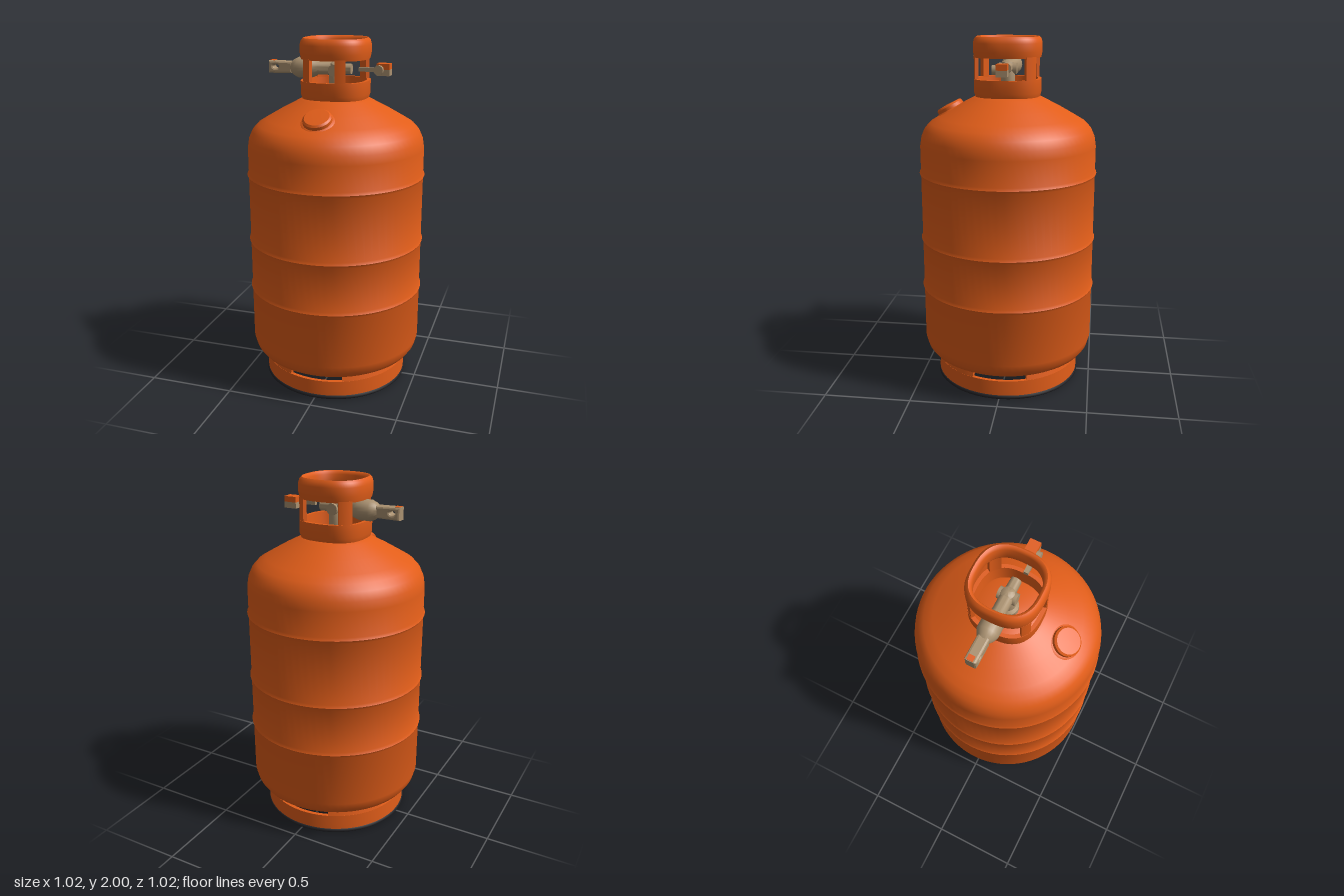
import * as THREE from 'three';
import { toCreasedNormals } from 'three/addons/utils/BufferGeometryUtils.js';

const mat = (name, color) => {
  const m = new THREE.MeshStandardMaterial({ color });
  m.name = name;
  return m;
};
const DEG = Math.PI / 180;

// Sweeps a closed convex (radius, y) profile, given counter-clockwise, around y.
// radiusScale(angle) bends the circle into another outline.
function sweep(profile, a0, a1, radiusScale = () => 1) {
  const steps = Math.max(3, Math.ceil((a1 - a0) / (4 * DEG)));
  const pos = [];
  const at = (s, i) => {
    const a = a0 + (a1 - a0) * s / steps;
    const [r, y] = profile[i % profile.length];
    const k = r * radiusScale(a);
    return [k * Math.cos(a), y, k * Math.sin(a)];
  };
  const tri = (a, b, c) => pos.push(...a, ...b, ...c);
  for (let s = 0; s < steps; s++) {
    for (let i = 0; i < profile.length; i++) {
      tri(at(s, i), at(s, i + 1), at(s + 1, i + 1));
      tri(at(s, i), at(s + 1, i + 1), at(s + 1, i));
    }
  }
  if (a1 - a0 < 2 * Math.PI - 0.001) {
    for (let i = 1; i < profile.length - 1; i++) {
      tri(at(0, 0), at(0, i + 1), at(0, i));
      tri(at(steps, 0), at(steps, i), at(steps, i + 1));
    }
  }
  const g = new THREE.BufferGeometry();
  g.setAttribute('position', new THREE.Float32BufferAttribute(pos, 3));
  return toCreasedNormals(g, 0.8);
}

const rect = (r0, r1, y0, y1) => [[r0, y0], [r1, y0], [r1, y1], [r0, y1]];
const lathe = (pts, seg = 72) => toCreasedNormals(
  new THREE.LatheGeometry(pts.map(p => new THREE.Vector2(...p)), seg), 0.6);
// Rounded-square outline for the collar
const squarish = a =>
  Math.pow(Math.abs(Math.cos(a)) ** 2.6 + Math.abs(Math.sin(a)) ** 2.6, -1 / 2.6);

export function createModel() {
  const root = new THREE.Group();
  root.name = 'gasCylinder';
  const orange = mat('orangePaint', 0xe15d19);
  const brass = mat('dullBrass', 0xaa9170);
  const rubber = mat('blackRubber', 0x242428);
  const brown = mat('bareUnderside', 0x94734e);

  const add = (name, geometry, material, parent = root) => {
    const m = new THREE.Mesh(geometry, material);
    m.name = name;
    parent.add(m);
    return m;
  };

  // Tank body with three raised seams
  const seam = y => [[0.5, y - 0.016], [0.508, y], [0.5, y + 0.016]];
  add('tank', lathe([
    [0.412, 0.15], [0.44, 0.157], [0.466, 0.174], [0.488, 0.205], [0.5, 0.25],
    ...seam(0.57), ...seam(0.86), ...seam(1.245),
    [0.5, 1.4], [0.492, 1.45], [0.472, 1.495], [0.44, 1.53], [0.39, 1.56],
    [0.3, 1.612], [0.2, 1.664], [0.16, 1.682], [0, 1.69],
  ]), orange);
  add('tankUnderside', lathe([[0, 0.127], [0.355, 0.127], [0.38, 0.135], [0.412, 0.15]]), brown);

  // Foot ring: a full band, four tabs up to the tank, a rubber rim
  const foot = new THREE.Group();
  foot.name = 'foot';
  root.add(foot);
  add('footBand', sweep([[0.4, 0.018], [0.42, 0.018], [0.417, 0.112], [0.397, 0.112]], 0, 2 * Math.PI), orange, foot);
  for (let i = 0; i < 4; i++) {
    const mid = (45 + 90 * i) * DEG;
    add('footTab', sweep([[0.397, 0.108], [0.417, 0.108], [0.404, 0.16], [0.382, 0.16]],
      mid - 23 * DEG, mid + 23 * DEG), orange, foot);
  }
  add('footRim', sweep([[0.396, 0.006], [0.404, 0], [0.418, 0], [0.425, 0.007],
    [0.425, 0.019], [0.419, 0.025], [0.396, 0.025]], 0, 2 * Math.PI), rubber, foot);
  add('footInnerPatch', sweep(rect(0.393, 0.399, 0.026, 0.09), 115 * DEG, 196 * DEG), brass, foot);

  // Collar: lower band, posts and rolled top rim on a rounded-square outline
  const collar = new THREE.Group();
  collar.name = 'collar';
  root.add(collar);
  add('collarBase', sweep([[0.162, 1.676], [0.18, 1.676], [0.187, 1.7], [0.187, 1.772], [0.167, 1.772]],
    0, 2 * Math.PI, squarish), orange, collar);
  add('collarRim', sweep([[0.163, 1.888], [0.184, 1.888], [0.19, 1.92], [0.19, 1.965], [0.184, 1.988],
    [0.172, 2], [0.162, 1.996], [0.155, 1.98], [0.155, 1.91]], 0, 2 * Math.PI, squarish), orange, collar);
  // start and end angle of each post, from +x towards +z
  const posts = [[58, 75], [120, 135], [216, 238], [303, 323]];
  for (const [a, b] of posts) {
    add('collarPost', sweep(rect(0.166, 0.186, 1.765, 1.895), a * DEG, b * DEG, squarish), orange, collar);
  }

  // Filler plug on the front shoulder
  const plug = new THREE.Group();
  plug.name = 'shoulderPlug';
  plug.position.set(0, 1.586, 0.322);
  plug.rotation.x = 0.5;
  add('plugFlange', lathe([[0.096, -0.03], [0.094, 0.004], [0.082, 0.012], [0, 0.012]], 32), orange, plug);
  add('plugCap', lathe([[0.08, 0], [0.078, 0.03], [0.068, 0.039], [0, 0.042]], 32), orange, plug);
  root.add(plug);

  // Valve: upright stem with a side pipe leading to a drilled end lug
  const valve = new THREE.Group();
  valve.name = 'valve';
  root.add(valve);
  add('valveStem', lathe([[0.055, 1.67], [0.055, 1.72], [0.04, 1.735], [0.04, 1.84],
    [0.034, 1.86], [0.02, 1.87], [0, 1.873]], 20), brass, valve);
  add('valvePipe', lathe([[0, -0.09], [0.028, -0.09], [0.03, -0.03], [0.036, 0], [0.036, 0.1], [0.05, 0.125],
    [0.057, 0.15], [0.057, 0.215], [0.046, 0.24], [0.03, 0.262], [0, 0.262]], 24)
    .rotateZ(Math.PI / 2).translate(0, 1.832, 0), brass, valve);
  const lug = new THREE.Shape([[-0.39, 1.797], [-0.25, 1.8], [-0.25, 1.864], [-0.39, 1.867]]
    .map(p => new THREE.Vector2(...p)));
  const hole = new THREE.Path();
  hole.absellipse(-0.346, 1.835, 0.017, 0.011, 0, 2 * Math.PI, true);
  lug.holes.push(hole);
  add('valveEndLug', new THREE.ExtrudeGeometry(lug, { depth: 0.04, bevelEnabled: true,
    bevelSize: 0.01, bevelThickness: 0.012, bevelOffset: -0.01, bevelSegments: 2 })
    .translate(0, 0, -0.02), brass, valve);
  add('lugPaintPatch', new THREE.BoxGeometry(0.03, 0.004, 0.034)
    .translate(-0.372, 1.867, -0.003), orange, valve);
  add('valveSideNut', new THREE.CylinderGeometry(0.032, 0.032, 0.1, 16)
    .rotateX(Math.PI / 2).translate(0, 1.825, 0), brass, valve);

  // Small tap on the other side of the collar, its knob painted on the upper half
  const tap = new THREE.Group();
  tap.name = 'tap';
  root.add(tap);
  add('tapRod', new THREE.BoxGeometry(0.11, 0.022, 0.024).translate(0.195, 1.835, 0.025), brass, tap);
  add('tapBody', new THREE.CylinderGeometry(0.026, 0.026, 0.045, 16)
    .rotateX(Math.PI / 2).translate(0.252, 1.835, 0.03), brass, tap);
  add('tapKnobLower', new THREE.BoxGeometry(0.073, 0.034, 0.06).translate(0.273, 1.82, -0.003), brass, tap);
  add('tapKnobUpper', new THREE.BoxGeometry(0.073, 0.031, 0.06).translate(0.273, 1.8525, -0.003), orange, tap);

  return root;
}
